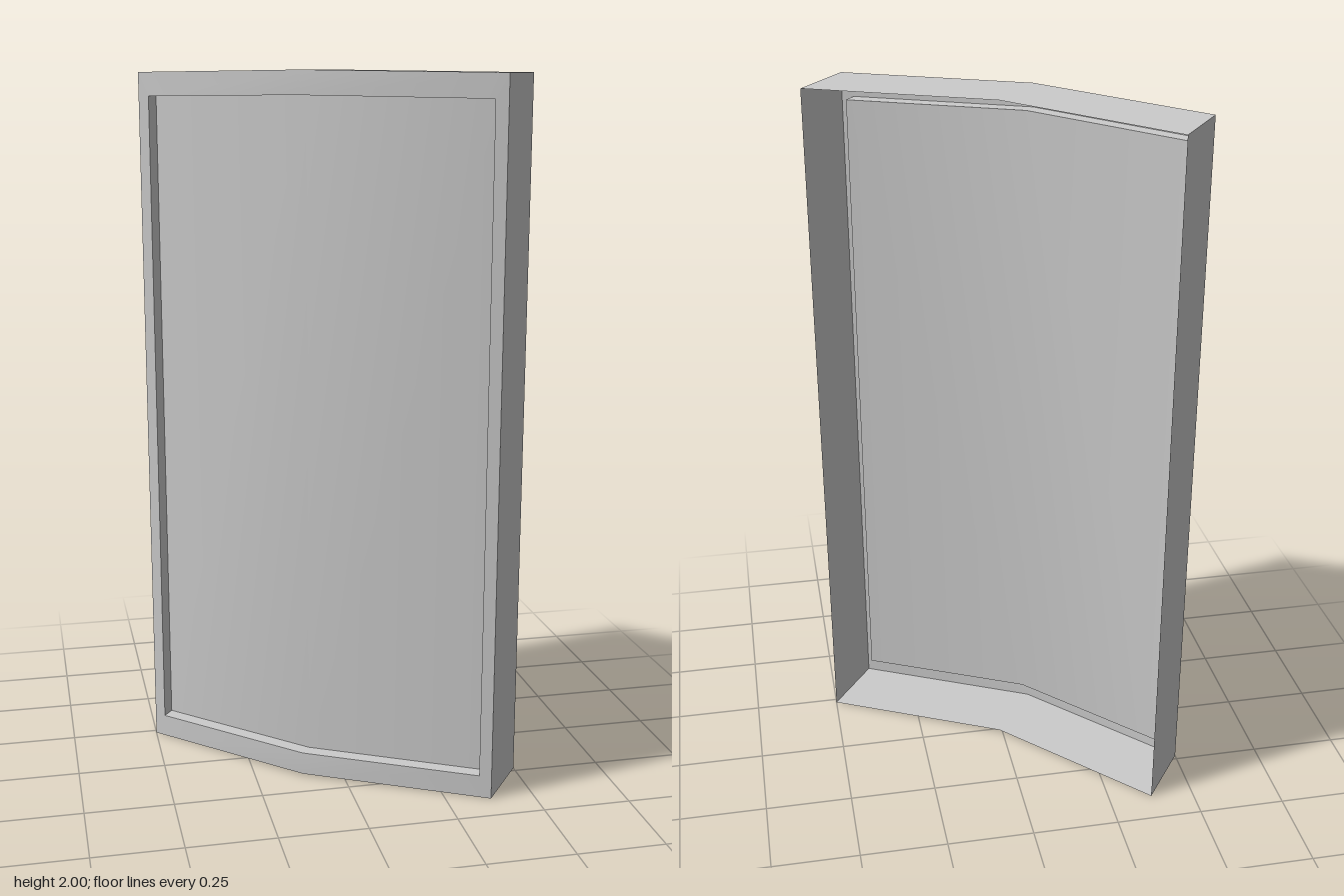
import * as THREE from 'three';
import { toCreasedNormals } from 'three/addons/utils/BufferGeometryUtils.js';

// Plan stations [x, z] along the front edge: right end, bend, left end
const FRONT = [[-0.5, -0.235], [-0.115, 0.153], [0.376, 0.404]];
const INSET = [[-0.475, -0.21], [-0.115, 0.153], [0.345, 0.388]];
const DEPTH = [0.124, -0.17]; // direction from front edge to back edge
const BOW = [0, 0.007, 0]; // slight rise at the bend
const HEIGHT = 1.993;
const BORDER = 0.065;

// Closed loop of six points seen from the front: along the bottom, back along the top
function ring(plan, border, depth) {
  const row = (y) => plan.map(([x, z], i) =>
    [x + DEPTH[0] * depth, y + BOW[i], z + DEPTH[1] * depth]);
  return [...row(border), ...row(HEIGHT - border).reverse()];
}

function geometryFrom(points, index) {
  const geometry = new THREE.BufferGeometry();
  geometry.setAttribute('position', new THREE.Float32BufferAttribute(points.flat(), 3));
  geometry.setIndex(index);
  return toCreasedNormals(geometry, Math.PI / 6);
}

// Strip of quads joining two loops
function band(a, b) {
  const n = a.length;
  const index = [];
  for (let i = 0; i < n; i++) {
    const j = (i + 1) % n;
    index.push(i, j, n + j, i, n + j, n + i);
  }
  return geometryFrom([...a, ...b], index);
}

export function createModel() {
  const group = new THREE.Group();
  const material = new THREE.MeshStandardMaterial({ color: 0xcccccc, side: THREE.DoubleSide });
  const add = (name, geometry) => {
    const mesh = new THREE.Mesh(geometry, material);
    mesh.name = name;
    group.add(mesh);
  };

  const backEdge = ring(FRONT, 0, 1);
  const frontEdge = ring(FRONT, 0, 0);
  const lipEdge = ring(INSET, BORDER, 0);
  const panelEdge = ring(INSET, BORDER, 0.2);

  // Thin casing, open at the back
  add('casing', band(backEdge, frontEdge));
  // Narrow border around the front
  add('frontBorder', band(frontEdge, lipEdge));
  // Shallow step from the border back to the panel
  add('recessWall', band(lipEdge, panelEdge));
  // Bent panel, shaded smoothly across the bend
  add('panel', geometryFrom(panelEdge, [0, 1, 4, 0, 4, 5, 1, 2, 3, 1, 3, 4]));

  return group;
}
